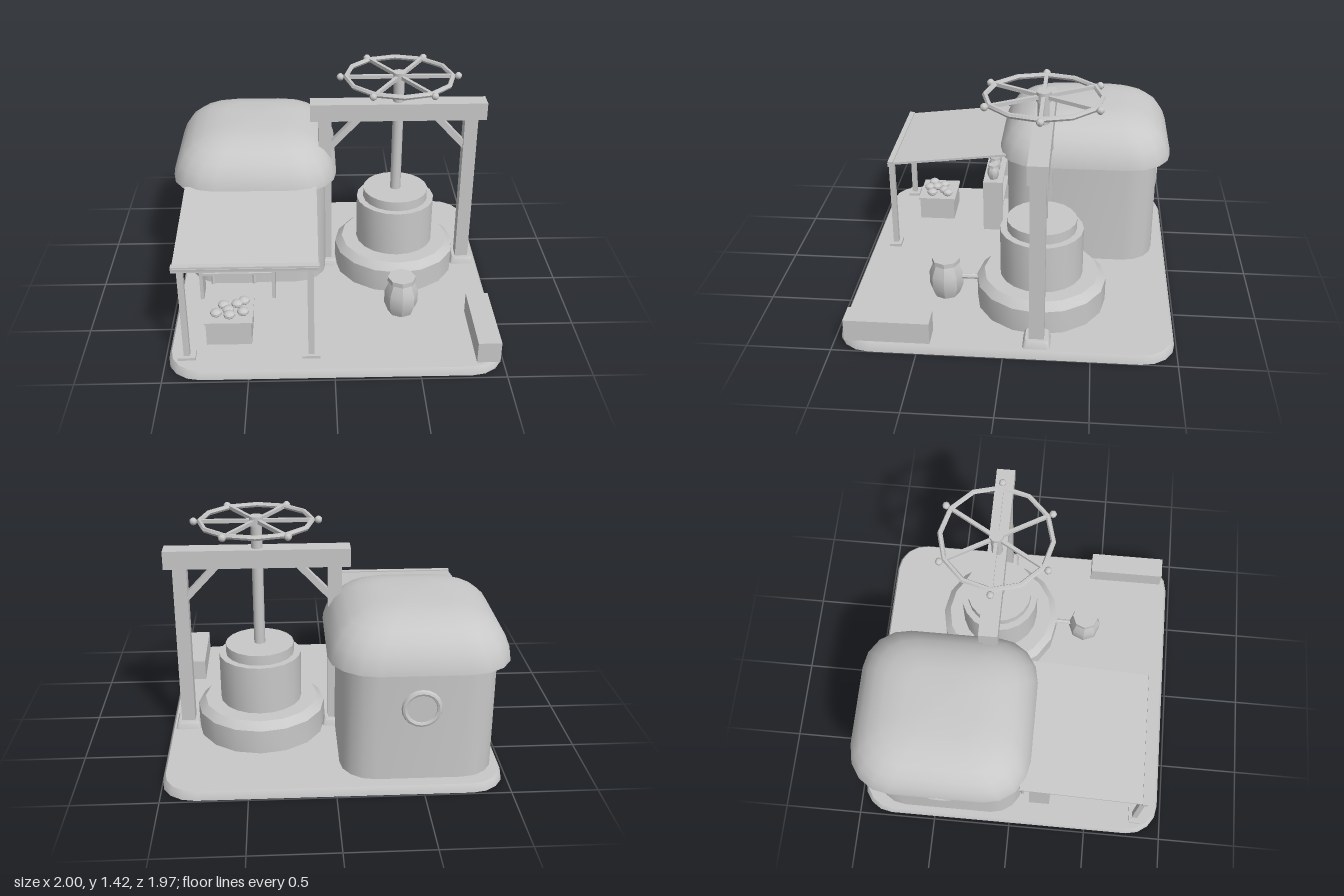
import * as THREE from 'three';
import { toCreasedNormals } from 'three/addons/utils/BufferGeometryUtils.js';

export function createModel() {
  const model = new THREE.Group();
  const clay = new THREE.MeshStandardMaterial({ color: 0xc8c8c8 });
  clay.name = 'plain grey';

  // Adds a mesh; edges sharper than the crease angle stay crisp.
  function add(name, geometry, x = 0, y = 0, z = 0, parent = model) {
    const mesh = new THREE.Mesh(toCreasedNormals(geometry, 0.6), clay);
    mesh.name = name;
    mesh.position.set(x, y, z);
    parent.add(mesh);
    return mesh;
  }
  // Box given by its limits
  const box = (name, x0, x1, y0, y1, z0, z1, parent) =>
    add(name, new THREE.BoxGeometry(x1 - x0, y1 - y0, z1 - z0),
      (x0 + x1) / 2, (y0 + y1) / 2, (z0 + z1) / 2, parent);
  const lathe = (profile, sides) =>
    new THREE.LatheGeometry(profile.map(([r, y]) => new THREE.Vector2(r, y)), sides);

  // Stack of rounded rectangles: [y, half width, half depth, corner radius]
  function loft(sections) {
    const steps = 4, n = 4 * (steps + 1), pos = [], index = [];
    for (const [y, w, d, r] of sections) {
      for (let c = 0; c < 4; c++) {
        const sx = c === 0 || c === 3 ? 1 : -1, sz = c < 2 ? -1 : 1;
        for (let i = 0; i <= steps; i++) {
          const a = (c + i / steps) * Math.PI / 2;
          pos.push(sx * (w - r) + r * Math.cos(a), y, sz * (d - r) - r * Math.sin(a));
        }
      }
    }
    const last = sections.length - 1;
    pos.push(0, sections[0][0], 0, 0, sections[last][0], 0);
    const bottom = n * sections.length, top = bottom + 1;
    for (let i = 0; i < n; i++) {
      const j = (i + 1) % n;
      for (let s = 0; s < last; s++) {
        const a = s * n + i, b = s * n + j;
        index.push(a, b, b + n, a, b + n, a + n);
      }
      index.push(bottom, j, i, top, last * n + i, last * n + j);
    }
    const g = new THREE.BufferGeometry();
    g.setAttribute('position', new THREE.Float32BufferAttribute(pos, 3));
    g.setIndex(index);
    return g;
  }

  // Ground slab
  add('base', loft([[0, 0.99, 0.985, 0.2], [0.03, 0.985, 0.98, 0.2], [0.05, 0.972, 0.967, 0.19]]), 0.01, 0, -0.005);

  // House with domed roof
  const hx = -0.48, hz = -0.43;
  add('houseWalls', loft([[0.04, 0.448, 0.485, 0.2], [0.8, 0.448, 0.485, 0.2]]), hx, 0, hz + 0.015);
  add('roof', loft([
    [0.74, 0.505, 0.535, 0.26], [0.745, 0.52, 0.55, 0.27], [0.785, 0.515, 0.545, 0.27],
    [0.85, 0.49, 0.52, 0.26], [0.91, 0.453, 0.483, 0.25], [0.96, 0.395, 0.425, 0.22],
    [0.995, 0.32, 0.35, 0.18], [1.012, 0.25, 0.27, 0.14], [1.02, 0.2, 0.22, 0.12],
  ]), hx, 0, hz);

  // Round windows on the back and the right-hand wall
  function roundWindow(x, z, turn) {
    const g = new THREE.Group();
    g.name = 'roundWindow';
    g.position.set(x, 0.505, z);
    g.rotation.y = turn;
    add('windowFrame', new THREE.TorusGeometry(0.098, 0.018, 8, 20), 0, 0, 0, g);
    add('windowPane', new THREE.CylinderGeometry(0.098, 0.098, 0.009, 20).rotateX(Math.PI / 2), 0, 0, 0.004, g);
    model.add(g);
  }
  roundWindow(hx, -0.902, Math.PI);
  roundWindow(-0.93, hz, -Math.PI / 2);

  // Arched door
  const door = new THREE.Shape();
  door.moveTo(-0.135, 0.05).lineTo(0.135, 0.05).lineTo(0.135, 0.48);
  door.absarc(0, 0.48, 0.135, 0, Math.PI, false);
  add('door', new THREE.ExtrudeGeometry(door, { depth: 0.009, bevelEnabled: false }), -0.64, 0, 0.069);
  add('doorArch', new THREE.TorusGeometry(0.135, 0.014, 6, 14, Math.PI), -0.64, 0.48, 0.073);
  for (const s of [-1, 1])
    add('doorJamb', new THREE.CylinderGeometry(0.014, 0.014, 0.43, 6), -0.64 + s * 0.135, 0.265, 0.073);
  add('doorKnob', new THREE.SphereGeometry(0.012, 8, 6), -0.55, 0.305, 0.083);

  // Sloping awning on two posts
  const awning = add('awning', new THREE.BoxGeometry(0.82, 0.015, 0.79), -0.5, 0.715, 0.455);
  awning.rotation.x = Math.atan2(0.09, 0.76);
  box('awningRail', -0.915, -0.085, 0.652, 0.688, 0.81, 0.845);
  for (const x of [-0.865, -0.135]) {
    box('awningPost', x - 0.018, x + 0.018, 0.05, 0.66, 0.81, 0.845);
    box('awningPostFoot', x - 0.052, x + 0.052, 0.05, 0.068, 0.788, 0.865);
  }

  // Shelf with two rows of jars
  box('shelfSide', -0.84, -0.818, 0.05, 0.42, 0.12, 0.255);
  box('shelfSide', -0.382, -0.36, 0.05, 0.42, 0.12, 0.255);
  for (const y of [0.245, 0.42]) {
    box('shelfBoard', -0.84, -0.36, y - 0.015, y, 0.12, 0.255);
    for (let i = 0; i < 4; i++)
      add('jar', lathe([[0, 0], [0.028, 0], [0.039, 0.03], [0.039, 0.07], [0.029, 0.086],
        [0.033, 0.088], [0.033, 0.105], [0, 0.105]], 8), -0.782 + i * 0.118, y, 0.19);
  }

  // Crate of produce
  box('crate', -0.76, -0.49, 0.05, 0.2, 0.48, 0.72);
  box('crateTop', -0.768, -0.482, 0.2, 0.212, 0.472, 0.728);
  const spots = [[-0.7, 0.65], [-0.62, 0.67], [-0.54, 0.64], [-0.66, 0.57], [-0.58, 0.56], [-0.63, 0.62], [-0.54, 0.53]];
  for (const [x, z] of spots)
    add('fruit', new THREE.SphereGeometry(0.037, 8, 5).scale(1, 0.68, 1), x, 0.234, z);

  // Low box by the edge
  box('bench', 0.83, 0.967, 0.05, 0.186, 0.425, 0.925);

  // Press: stepped drum, screw and hand wheel
  const px = 0.43, pz = -0.19;
  add('pressBase', lathe([[0, 0.05], [0.395, 0.05], [0.395, 0.2], [0.35, 0.245], [0, 0.245]], 16), px, 0, pz);
  add('pressDrum', lathe([[0, 0.24], [0.252, 0.24], [0.252, 0.547], [0, 0.547]], 20), px, 0, pz);
  add('pressPlate', lathe([[0, 0.54], [0.21, 0.54], [0.21, 0.61], [0, 0.61]], 20), px, 0, pz);
  add('screw', new THREE.CylinderGeometry(0.034, 0.034, 0.78, 12), px, 1.0, pz);
  add('wheelHub', new THREE.CylinderGeometry(0.042, 0.042, 0.06, 12), px, 1.39, pz);
  add('wheelRim', new THREE.TorusGeometry(0.332, 0.016, 6, 12).rotateX(Math.PI / 2), px, 1.39, pz);
  for (let i = 0; i < 6; i++) {
    const a = i * Math.PI / 3;
    const spoke = add('wheelSpoke', new THREE.BoxGeometry(0.33, 0.022, 0.022).translate(0.165, 0, 0), px, 1.39, pz);
    spoke.rotation.y = a;
    add('wheelKnob', new THREE.SphereGeometry(0.023, 8, 6), px + 0.365 * Math.cos(a), 1.39, pz - 0.365 * Math.sin(a));
  }

  // Timber frame over the press
  box('beam', -0.125, 0.985, 1.112, 1.225, -0.247, -0.133);
  for (const s of [-1, 1]) {
    const x = px + s * 0.462;
    box('framePost', x - 0.042, x + 0.042, 0.05, 1.115, -0.234, -0.146);
    add('framePostFoot', loft([[0.05, 0.078, 0.08, 0.02], [0.085, 0.07, 0.072, 0.02], [0.095, 0.062, 0.065, 0.02]]), x, 0, pz);
    const brace = add('frameBrace', new THREE.BoxGeometry(0.3, 0.04, 0.05), px + s * 0.335, 1.02, pz);
    brace.rotation.z = -s * 0.82;
  }

  // Spout and collecting pot
  add('spout', new THREE.CylinderGeometry(0.017, 0.017, 0.18, 8).rotateX(Math.PI / 2), px, 0.175, 0.24);
  add('pot', lathe([[0, 0.05], [0.08, 0.05], [0.105, 0.115], [0.105, 0.2], [0.078, 0.268],
    [0.087, 0.272], [0.087, 0.302], [0, 0.302]], 8), px, 0, 0.4);

  return model;
}
